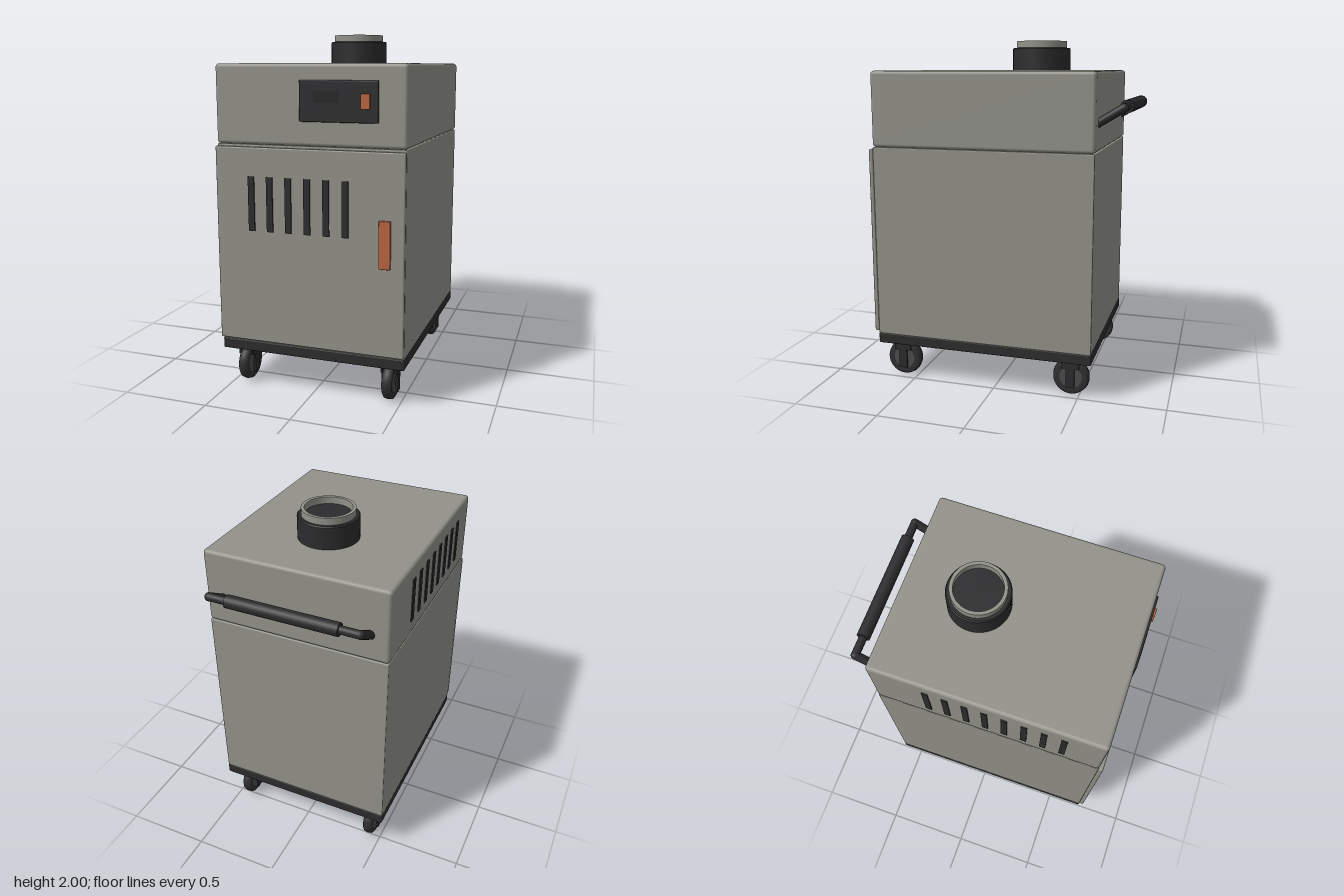
import * as THREE from 'three';
import { RoundedBoxGeometry } from 'three/addons/geometries/RoundedBoxGeometry.js';

const paint = (name, color) => {
  const m = new THREE.MeshStandardMaterial({ color });
  m.name = name;
  return m;
};

export function createModel() {
  const grey = paint('warm grey paint', 0x92928a);
  const black = paint('black plastic', 0x2c2c2e);
  const rubber = paint('wheel rubber', 0x303032);
  const hubGrey = paint('hub grey', 0x4c4c4e);
  const screen = paint('display dark', 0x222224);
  const orange = paint('copper orange', 0xb9653f);

  const root = new THREE.Group();
  root.name = 'mobileCabinet';

  const add = (name, geo, mat, x = 0, y = 0, z = 0, parent = root) => {
    const m = new THREE.Mesh(geo, mat);
    m.name = name;
    m.position.set(x, y, z);
    parent.add(m);
    return m;
  };
  // Box given by its limits on each axis, optionally with rounded edges
  const box = (name, mat, [x0, x1], [y0, y1], [z0, z1], r = 0, parent = root) => {
    const s = [x1 - x0, y1 - y0, z1 - z0];
    const geo = r ? new RoundedBoxGeometry(...s, 3, r) : new THREE.BoxGeometry(...s);
    return add(name, geo, mat, (x0 + x1) / 2, (y0 + y1) / 2, (z0 + z1) / 2, parent);
  };

  // Cabinet
  box('base', black, [-0.535, 0.535], [0.22, 0.283], [-0.58, 0.71], 0.008);
  box('body', grey, [-0.535, 0.535], [0.28, 1.4], [-0.578, 0.708], 0.006);
  box('head', grey, [-0.537, 0.537], [1.4, 1.83], [-0.58, 0.71], 0.02);
  box('door', grey, [-0.535, 0.535], [0.295, 1.388], [0.708, 0.734], 0.008);
  box('doorHandle', orange, [0.4, 0.463], [0.78, 1.035], [0.73, 0.748], 0.003);
  for (let i = 0; i < 6; i++) {
    const x = -0.322 + i * 0.1075;
    box('doorVent', black, [x - 0.018, x + 0.018], [0.93, 1.23], [0.73, 0.741]);
  }

  // Vents on the model's right side of the head
  for (let i = 0; i < 8; i++) {
    const z = -0.261 + i * 0.1075;
    box('sideVent', black, [-0.543, -0.53], [1.49, 1.745], [z - 0.017, z + 0.017]);
  }

  // Control panel
  box('controlPanel', black, [-0.043, 0.387], [1.53, 1.745], [0.705, 0.724], 0.006);
  box('display', screen, [0.035, 0.18], [1.63, 1.69], [0.722, 0.728]);
  box('powerSwitch', orange, [0.297, 0.347], [1.6, 1.68], [0.72, 0.739], 0.003);

  // Top outlet: collar with an open rim
  const outlet = new THREE.Group();
  outlet.name = 'outlet';
  outlet.position.set(0, 1.82, -0.153);
  root.add(outlet);
  const profile = (...p) => p.map(([x, y]) => new THREE.Vector2(x, y));
  const lathe = pts => {
    // each span gets its own lathe so edges stay sharp
    return pts.slice(1).map((p, i) => new THREE.LatheGeometry([pts[i], p], 48));
  };
  lathe(profile([0.171, 0], [0.171, 0.135], [0.165, 0.141], [0, 0.141]))
    .forEach(g => add('outletCollar', g, black, 0, 0, 0, outlet));
  lathe(profile([0.149, 0.14], [0.149, 0.18], [0.13, 0.18], [0.13, 0.14]))
    .forEach(g => add('outletRim', g, grey, 0, 0, 0, outlet));

  // Rear push handle: bent tube with a thick grip
  const rod = (name, a, b, r, mat) => {
    const dir = b.clone().sub(a);
    const m = add(name, new THREE.CylinderGeometry(r, r, dir.length(), 24), mat);
    m.position.copy(a).addScaledVector(dir, 0.5);
    m.quaternion.setFromUnitVectors(new THREE.Vector3(0, 1, 0), dir.normalize());
  };
  const v = (x, y, z) => new THREE.Vector3(x, y, z);
  rod('handleBar', v(-0.43, 1.64, -0.712), v(0.43, 1.64, -0.712), 0.023, black);
  rod('handleGrip', v(-0.322, 1.64, -0.712), v(0.322, 1.64, -0.712), 0.037, black);
  for (const s of [-1, 1]) {
    rod('handleArm', v(s * 0.43, 1.552, -0.568), v(s * 0.43, 1.64, -0.712), 0.024, black);
    add('handleElbow', new THREE.SphereGeometry(0.024, 20, 12), black, s * 0.43, 1.64, -0.712);
  }

  // Casters
  const tyreProfile = profile([0.065, -0.027], [0.09, -0.03], [0.102, -0.022], [0.107, 0],
    [0.102, 0.022], [0.09, 0.03], [0.065, 0.027]);
  const tyreGeo = new THREE.LatheGeometry(tyreProfile, 40);
  const hubGeo = new THREE.CylinderGeometry(0.066, 0.066, 0.05, 32);
  const axleGeo = new THREE.CylinderGeometry(0.015, 0.015, 0.092, 16);
  for (const x of [-0.43, 0.43]) {
    for (const z of [-0.45, 0.585]) {
      const caster = new THREE.Group();
      caster.name = 'caster';
      caster.position.set(x, 0.108, z);
      root.add(caster);
      add('tyre', tyreGeo, rubber, 0, 0, 0, caster).rotation.z = Math.PI / 2;
      add('hub', hubGeo, hubGrey, 0, 0, 0, caster).rotation.z = Math.PI / 2;
      add('axle', axleGeo, black, 0, 0, 0, caster).rotation.z = Math.PI / 2;
      box('swivelPlate', black, [-0.046, 0.046], [0.1, 0.114], [-0.05, 0.05], 0, caster);
      for (const s of [-1, 1]) {
        const side = [s * 0.04 - 0.006, s * 0.04 + 0.006];
        box('forkCheek', black, side, [0.055, 0.105], [-0.05, 0.05], 0, caster);
        box('forkLeg', black, side, [-0.058, 0.06], [-0.025, 0.025], 0, caster);
      }
    }
  }
  return root;
}
